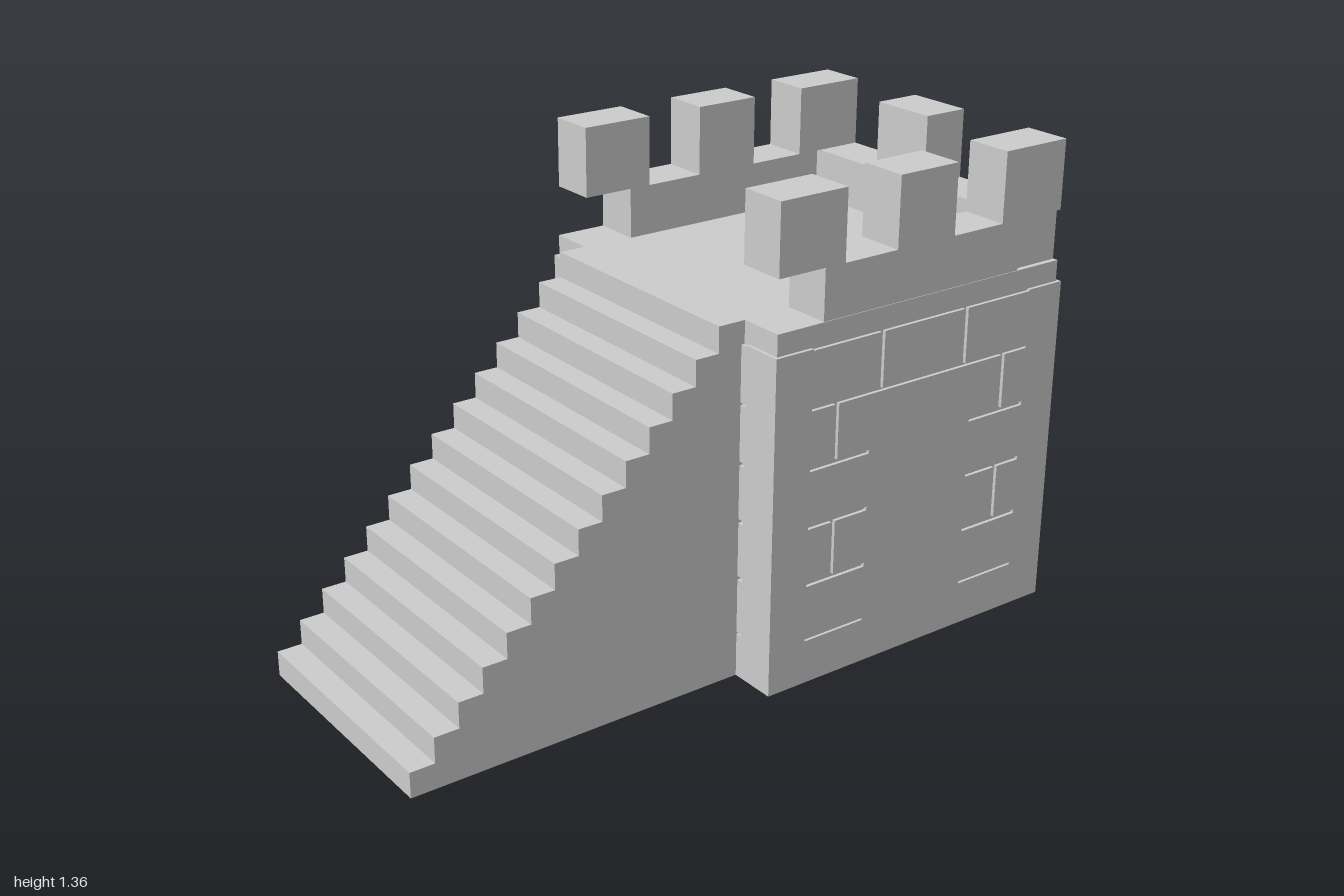
import * as THREE from 'three';

const stone = new THREE.MeshStandardMaterial({ color: 0xcccccc, flatShading: true });

// Axis-aligned block given by its extents
function block(parent, name, x0, x1, y0, y1, z0, z1) {
  const mesh = new THREE.Mesh(new THREE.BoxGeometry(x1 - x0, y1 - y0, z1 - z0), stone);
  mesh.position.set((x0 + x1) / 2, (y0 + y1) / 2, (z0 + z1) / 2);
  mesh.name = name;
  parent.add(mesh);
  return mesh;
}

const DEPTH = 0.01; // depth of the mortar grooves
const WALL = 0.96; // height of the brick walls
const FLOOR = 1.02; // height of the platform
const SILL = 1.163; // bottom of the crenels
const TOP = 1.36; // top of the merlons

// Thin outer skin of one wall, laid in horizontal bands with gaps for the mortar grooves
function brickFace(halfWidth) {
  const face = new THREE.Group();
  face.name = 'brickFace';
  const joint = (u) => [[-u - 0.006, -u + 0.006], [u - 0.006, u + 0.006]];
  const full = [[-0.38, 0.38]];
  const short = [[-0.38, -0.18], [0.18, 0.38]];
  const bands = [ // [top of band, gaps]
    [0.127, []], [0.133, short],
    [0.29, []], [0.301, short],
    [0.457, joint(0.295)], [0.468, short],
    [0.622, []], [0.633, short],
    [0.791, joint(0.295)], [0.798, full],
    [0.956, joint(0.147)], [WALL, full],
  ];
  let y = 0;
  for (const [top, gaps] of bands) {
    let u = -halfWidth;
    for (const [a, b] of [...gaps, [halfWidth, halfWidth]]) {
      block(face, 'brickCourse', u, a, y, top, -DEPTH, 0);
      u = b;
    }
    y = top;
  }
  return face;
}

export function createModel() {
  const model = new THREE.Group();
  model.name = 'castleStairTower';

  // Tower core, which shows at the bottom of the grooves and carries the platform
  block(model, 'towerCore', -0.49, 0.49, 0, FLOOR, -0.99, -0.01);

  // Brick skins on the four sides
  for (let i = 0; i < 4; i++) {
    const face = brickFace(i % 2 ? 0.49 : 0.5);
    const angle = i * Math.PI / 2;
    face.rotation.y = angle;
    face.position.set(Math.sin(angle) * 0.5, 0, -0.5 + Math.cos(angle) * 0.5);
    model.add(face);
  }

  // Staircase: stepped side profile extruded across the width
  const steps = 14;
  const run = 1 / steps;
  const rise = FLOOR / steps;
  const profile = new THREE.Shape();
  profile.moveTo(-0.01, 0);
  profile.lineTo(1, 0);
  for (let i = 0; i < steps; i++) {
    profile.lineTo(1 - i * run, (i + 1) * rise);
    if (i < steps - 1) profile.lineTo(1 - (i + 1) * run, (i + 1) * rise);
  }
  profile.lineTo(-0.01, FLOOR);
  const stairGeometry = new THREE.ExtrudeGeometry(profile, { depth: 0.72, bevelEnabled: false });
  stairGeometry.rotateY(-Math.PI / 2); // profile x becomes z
  stairGeometry.translate(0.36, 0, 0);
  const stairs = new THREE.Mesh(stairGeometry, stone);
  stairs.name = 'staircase';
  model.add(stairs);

  // Side parapets, each with three merlons; the front one overhangs its wall
  for (const side of [-1, 1]) {
    const x0 = Math.min(side * 0.35, side * 0.488);
    const x1 = x0 + 0.138;
    block(model, 'sideParapet', x0, x1, FLOOR, SILL, -0.838, -0.16);
    for (const [z0, z1] of [[-0.225, -0.012], [-0.597, -0.4], [-0.988, -0.77]]) {
      block(model, 'sideMerlon', x0, x1, SILL, TOP, z0, z1);
    }
  }

  // Back parapet, with ends set in slightly, and its middle merlon
  block(model, 'backParapet', -0.475, 0.475, FLOOR, SILL, -0.988, -0.85);
  block(model, 'backMerlon', -0.1, 0.1, SILL, TOP, -0.988, -0.85);

  return model;
}
